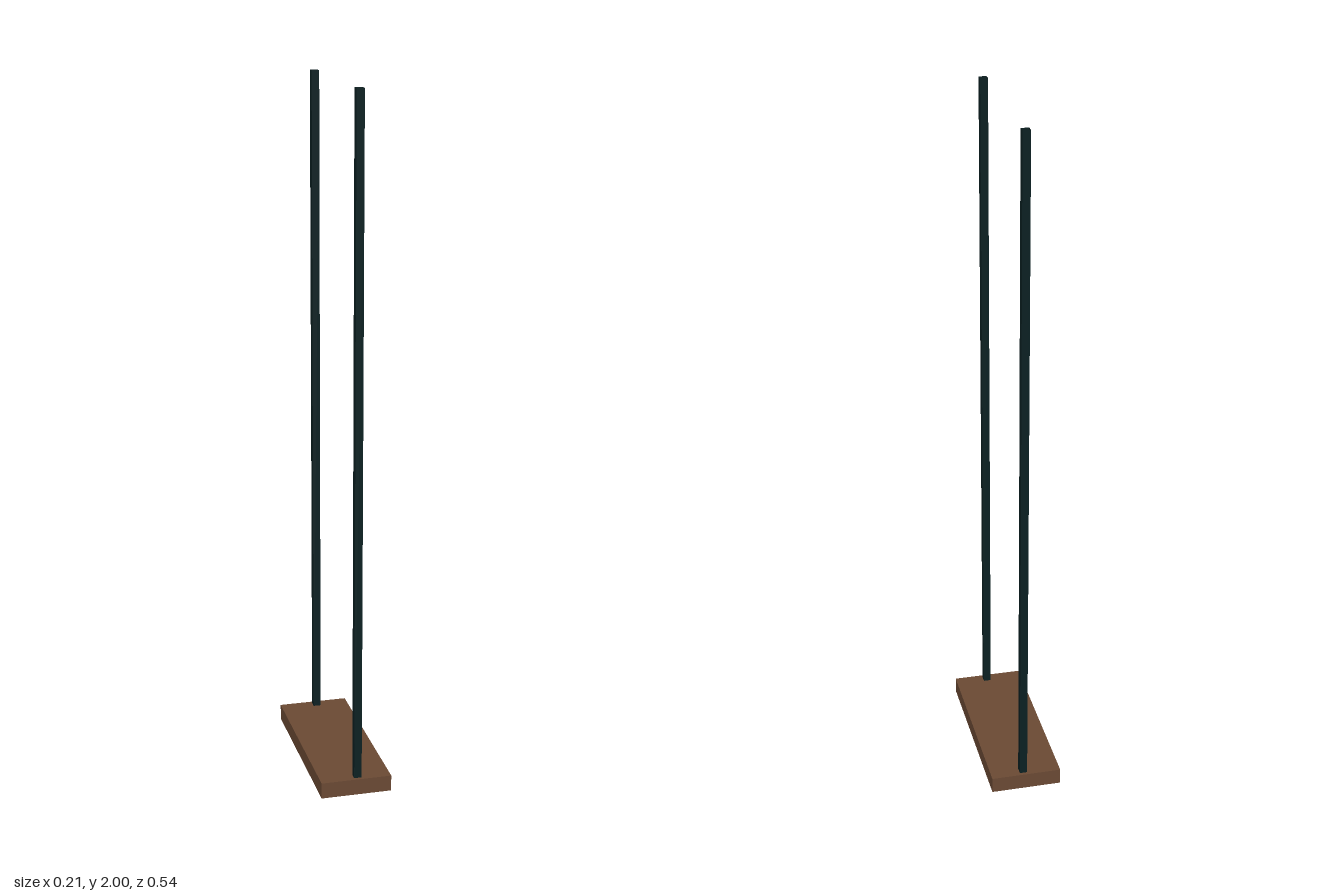
import * as THREE from 'three';

export function createModel() {
  const wood = new THREE.MeshStandardMaterial({ color: 0x6b4a34 });
  wood.name = 'brown wood';
  const cord = new THREE.MeshStandardMaterial({ color: 0x0a2022, side: THREE.DoubleSide });
  cord.name = 'dark rope';

  const swing = new THREE.Group();
  swing.name = 'swing';

  // Plank seat
  const seatHeight = 0.047;
  const seat = new THREE.Mesh(new THREE.BoxGeometry(0.206, seatHeight, 0.542), wood);
  seat.name = 'seat';
  seat.position.y = seatHeight / 2;
  swing.add(seat);

  // Square ropes, open at both ends, one near each end of the seat
  const ropeLength = 2 - seatHeight;
  const radius = 0.011 * Math.SQRT2;
  const ropeShape = new THREE.CylinderGeometry(radius, radius, ropeLength, 4, 1, true)
    .rotateY(Math.PI / 4)
    .toNonIndexed();
  ropeShape.computeVertexNormals();
  for (const [name, z] of [['frontRope', 0.25], ['backRope', -0.25]]) {
    const rope = new THREE.Mesh(ropeShape, cord);
    rope.name = name;
    rope.position.set(0.0065, seatHeight + ropeLength / 2, z);
    swing.add(rope);
  }

  return swing;
}
